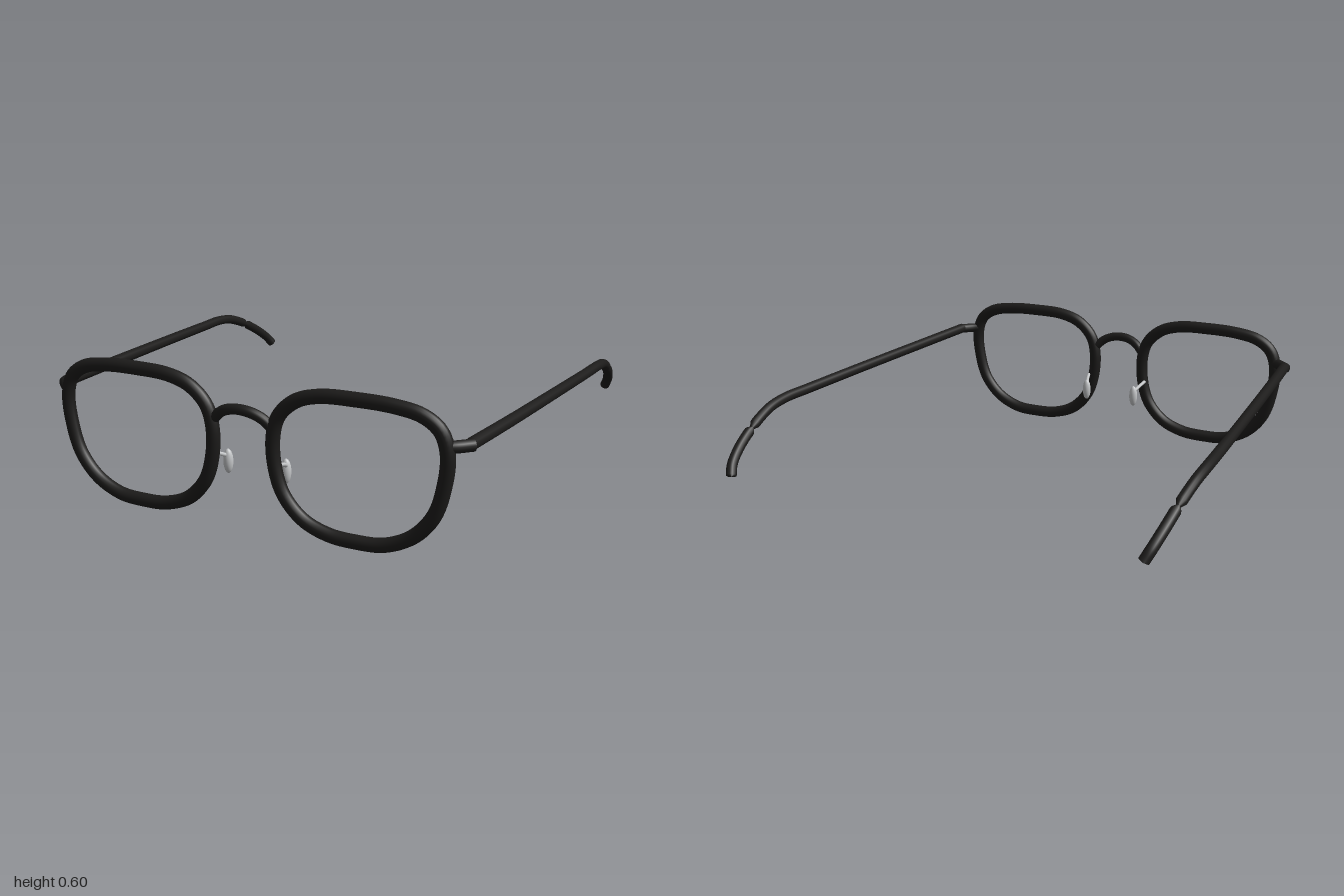
import * as THREE from 'three';

const frameBlack = new THREE.MeshStandardMaterial({ color: 0x1c1b1a });
frameBlack.name = 'frame black';
const padSilver = new THREE.MeshStandardMaterial({ color: 0xc4c6c8 });
padSilver.name = 'pad silver';

// Smooth curve through points, mirrored in x by side
const curve = (pts, side = 1, closed = false) => new THREE.CatmullRomCurve3(
  pts.map(([x, y, z]) => new THREE.Vector3(side * x, y, z)), closed);

// Closed-ended tube whose radius follows radiusAt(t)
function taperedTube(path, segments, radiusAt, sides = 14) {
  const geo = new THREE.TubeGeometry(path, segments, 1, sides, false);
  const pos = geo.attributes.position;
  const v = new THREE.Vector3();
  for (let i = 0; i <= segments; i++) {
    const t = i / segments;
    const centre = path.getPointAt(t);
    const r = i === 0 || i === segments ? 0.0001 : radiusAt(t);
    for (let j = 0; j <= sides; j++) {
      const k = i * (sides + 1) + j;
      v.fromBufferAttribute(pos, k).sub(centre).multiplyScalar(r).add(centre);
      pos.setXYZ(k, v.x, v.y, v.z);
    }
  }
  return geo;
}

// Centre line of one rim (x, y)
const rimOutline = [
  [0.13, 0.38], [0.137, 0.26], [0.172, 0.16], [0.25, 0.077], [0.355, 0.036], [0.465, 0.028],
  [0.58, 0.037], [0.69, 0.09], [0.766, 0.18], [0.802, 0.295], [0.812, 0.42], [0.785, 0.5],
  [0.72, 0.547], [0.615, 0.568], [0.465, 0.573], [0.32, 0.566], [0.225, 0.535], [0.155, 0.468],
];
// Slight wrap of the front
const wrapZ = (x) => 0.916 - 0.011 * Math.max(0, (x - 0.2) / 0.6) ** 2;

export function createModel() {
  const model = new THREE.Group();
  model.name = 'eyeglasses';
  const add = (name, geo, mat, parent) => {
    const mesh = new THREE.Mesh(geo, mat);
    mesh.name = name;
    parent.add(mesh);
    return mesh;
  };

  // Bridge arching over the nose
  const bridge = curve([[-0.125, 0.418, 0.913], [-0.09, 0.451, 0.924], [-0.05, 0.47, 0.932], [0, 0.477, 0.935],
    [0.05, 0.47, 0.932], [0.09, 0.451, 0.924], [0.125, 0.418, 0.913]]);
  add('bridge', taperedTube(bridge, 40, () => 0.021), frameBlack, model);

  for (const side of [1, -1]) {
    const half = new THREE.Group();
    half.name = side > 0 ? 'leftHalf' : 'rightHalf';
    model.add(half);

    // Rim, slightly thinner front to back
    const rim = curve(rimOutline.map(([x, y]) => [x, y, 0]), side, true);
    const rimGeo = new THREE.TubeGeometry(rim, 120, 0.028, 16, true);
    const pos = rimGeo.attributes.position;
    for (let i = 0; i < pos.count; i++) {
      pos.setZ(i, pos.getZ(i) * 0.9 + wrapZ(side * pos.getX(i)));
    }
    add('rim', rimGeo, frameBlack, half);

    // End piece joining rim and temple
    const endPiece = curve([[0.803, 0.445, 0.906], [0.835, 0.445, 0.885], [0.885, 0.444, 0.835]], side);
    add('endPiece', taperedTube(endPiece, 30, () => 0.023), frameBlack, half);

    // Temple, bowed slightly and narrowing to a neck behind the ear bend
    const temple = curve([[0.874, 0.448, 0.845], [0.904, 0.434, 0.5], [0.943, 0.415, 0], [0.968, 0.401, -0.35],
      [0.977, 0.395, -0.5], [0.976, 0.38, -0.6], [0.97, 0.353, -0.68], [0.963, 0.324, -0.745]], side);
    add('temple', taperedTube(temple, 200, (t) =>
      (0.024 - 0.002 * t) * Math.min(1, 0.35 + (1 - t) / 0.03)), frameBlack, half);

    // Ear tip
    const earTip = curve([[0.963, 0.326, -0.738], [0.96, 0.308, -0.775], [0.95, 0.267, -0.845],
      [0.934, 0.219, -0.908], [0.916, 0.178, -0.94]], side);
    add('earTip', taperedTube(earTip, 50, (t) => 0.022 * Math.min(1, 0.35 + t / 0.14)), frameBlack, half);

    // Nose pad and its wire
    const padWire = curve([[0.155, 0.273, 0.9], [0.146, 0.26, 0.865], [0.129, 0.236, 0.815]], side);
    add('padWire', taperedTube(padWire, 20, () => 0.008, 10), padSilver, half);
    const pad = add('nosePad', new THREE.SphereGeometry(1, 20, 14), padSilver, half);
    pad.scale.set(0.02, 0.05, 0.019);
    pad.position.set(side * 0.128, 0.214, 0.815);
  }
  return model;
}
